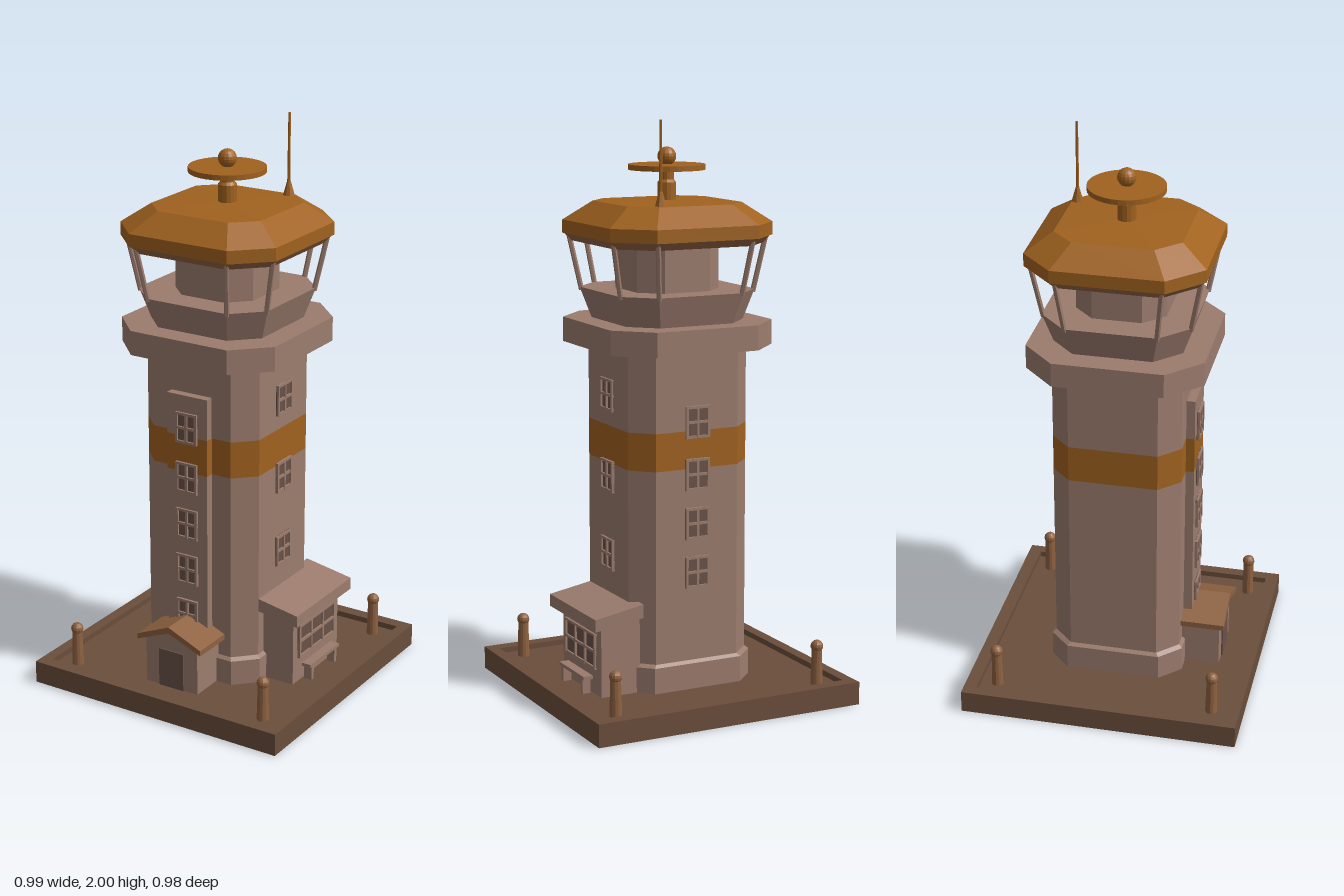
import * as THREE from 'three';

const mat = (color) => new THREE.MeshStandardMaterial({ color, flatShading: true, side: THREE.DoubleSide });

export function createModel() {
  const model = new THREE.Group();
  const wall = mat(0x9c7c6e), orange = mat(0xa0621f), ground = mat(0x6b4e3b);
  const rust = mat(0x8f6240), pane = mat(0x6a5248);

  const add = (name, geo, material, x = 0, y = 0, z = 0, parent = model) => {
    const m = new THREE.Mesh(geo, material);
    m.name = name;
    m.position.set(x, y, z);
    parent.add(m);
    return m;
  };
  const box = (name, w, h, d, material, x, y, z, parent) =>
    add(name, new THREE.BoxGeometry(w, h, d), material, x, y, z, parent);

  // Corners of a square with cut corners: half width h, cut c
  const ring = (y, h, c) => {
    const k = h - c;
    return [[h, k], [k, h], [-k, h], [-h, k], [-h, -k], [-k, -h], [k, -h], [h, -k]]
      .map(([x, z]) => [x, y, z]);
  };

  // Closed solid lofted through levels of [y, half width, corner cut]
  const loft = (levels) => {
    const rings = levels.map((l) => ring(...l));
    const pos = [];
    const tri = (...p) => p.forEach((v) => pos.push(...v));
    const bottom = rings[0], top = rings[rings.length - 1];
    for (let i = 0; i < 8; i++) {
      const j = (i + 1) % 8;
      for (let r = 0; r + 1 < rings.length; r++) {
        const lo = rings[r], hi = rings[r + 1];
        tri(lo[i], hi[i], hi[j]);
        tri(lo[i], hi[j], lo[j]);
      }
      tri([0, top[0][1], 0], top[j], top[i]);
      tri([0, bottom[0][1], 0], bottom[i], bottom[j]);
    }
    const g = new THREE.BufferGeometry();
    g.setAttribute('position', new THREE.Float32BufferAttribute(pos, 3));
    g.computeVertexNormals();
    return g;
  };

  // Straight bar between two points
  const bar = (name, a, b, r, material) => {
    const p = new THREE.Vector3(...a), q = new THREE.Vector3(...b);
    const dir = q.clone().sub(p);
    const m = add(name, new THREE.CylinderGeometry(r, r, dir.length(), 6), material);
    m.position.copy(p).add(q).multiplyScalar(0.5);
    m.quaternion.setFromUnitVectors(new THREE.Vector3(0, 1, 0), dir.normalize());
  };

  const extrude = (points, depth) => new THREE.ExtrudeGeometry(
    new THREE.Shape(points.map((p) => new THREE.Vector2(...p))), { depth, bevelEnabled: false });

  // Framed window facing +z before its group is turned
  const windowFrame = (name, w, h, x, y, z, turn, columns = 2, rows = 2) => {
    const g = new THREE.Group();
    g.name = name;
    g.position.set(x, y, z);
    g.rotation.y = turn;
    box('windowPane', w, h, 0.004, pane, 0, 0, 0.001, g);
    for (let i = 0; i <= columns; i++) {
      box('windowUpright', 0.009, h, 0.016, wall, (i / columns - 0.5) * (w - 0.009), 0, 0.002, g);
    }
    for (let i = 0; i <= rows; i++) {
      box('windowRail', w, 0.009, 0.015, wall, 0, (i / rows - 0.5) * (h - 0.009), 0.002, g);
    }
    model.add(g);
  };

  // Paved base with raised kerb
  box('baseSlab', 0.99, 0.06, 0.976, ground, 0, 0.03, 0);
  for (const s of [-1, 1]) {
    box('kerbSide', 0.04, 0.02, 0.976, ground, s * 0.475, 0.07, 0);
    box('kerbEnd', 0.91, 0.02, 0.045, ground, 0, 0.07, s * 0.4655);
  }

  // Shaft and front pilaster, both crossed by the painted band
  add('shaftSkirt', loft([[0.06, 0.237, 0.072], [0.15, 0.237, 0.072], [0.16, 0.226, 0.07]]), wall);
  const bands = [['shaftLower', 0.06, 0.83, wall], ['shaftBand', 0.83, 0.96, orange], ['shaftUpper', 0.96, 1.24, wall]];
  for (const [name, y0, y1, m] of bands) {
    add(name, loft([[y0, 0.225, 0.07], [y1, 0.225, 0.07]]), m);
    const top = Math.min(y1, 1.105);
    box(name + 'Pilaster', 0.16, top - y0, 0.055, m, 0, (y0 + top) / 2, 0.2275);
  }

  // Shaft windows
  for (const y of [0.99, 0.81, 0.64, 0.47, 0.3]) {
    windowFrame('frontWindow', 0.085, 0.11, 0, y, 0.255, 0);
    if (y > 0.4) windowFrame('backWindow', 0.09, 0.11, 0, y, -0.225, Math.PI);
  }
  for (const y of [1.067, 0.785, 0.51]) windowFrame('sideWindow', 0.095, 0.11, 0.225, y, 0, Math.PI / 2);

  // Gallery and control cab
  add('gallery', loft([[1.23, 0.305, 0.115], [1.315, 0.305, 0.115]]), wall);
  add('cabLowerWall', loft([[1.31, 0.22, 0.085], [1.42, 0.256, 0.098]]), wall);
  add('cabCore', loft([[1.41, 0.155, 0.07], [1.6, 0.155, 0.07]]), wall);
  const sill = ring(1.41, 0.25, 0.095), eave = ring(1.61, 0.288, 0.11);
  sill.forEach((p, i) => bar('cabPost', p, eave[i], 0.009, wall));

  // Roof
  add('roofSoffit', loft([[1.58, 0.282, 0.107], [1.61, 0.303, 0.114]]), rust);
  add('roof', loft([[1.605, 0.305, 0.115], [1.65, 0.305, 0.115], [1.715, 0.215, 0.078], [1.722, 0.02, 0.007]]), orange);

  // Radar dish on its mast
  const mast = [[0, 1.71], [0.032, 1.71], [0.032, 1.78], [0.024, 1.79], [0.024, 1.83], [0, 1.83]];
  add('radarMast', new THREE.LatheGeometry(mast.map((p) => new THREE.Vector2(...p)), 14), orange);
  add('radarDisc', new THREE.CylinderGeometry(0.132, 0.132, 0.018, 32), orange, 0, 1.832, 0);
  add('radarBall', new THREE.SphereGeometry(0.032, 14, 10), orange, 0, 1.868, 0);

  // Antenna
  add('antennaFoot', new THREE.CylinderGeometry(0.006, 0.02, 0.05, 8), orange, 0.122, 1.742, -0.196);
  add('antennaRod', new THREE.CylinderGeometry(0.004, 0.006, 0.27, 6), orange, 0.122, 1.865, -0.196);

  // Gabled entrance porch
  add('porchWalls', extrude([[-0.105, 0.06], [0.105, 0.06], [0.105, 0.23], [0, 0.28], [-0.105, 0.23]], 0.14), wall, 0, 0, 0.22);
  add('porchRoof', extrude([[-0.13, 0.222], [0, 0.275], [0.13, 0.222], [0.13, 0.242], [0, 0.298], [-0.13, 0.242]], 0.16), rust, 0, 0, 0.22);
  box('porchDoor', 0.1, 0.14, 0.008, pane, 0, 0.13, 0.361);

  // Lean-to annex
  add('annexWalls', extrude([[0.2, 0.06], [0.345, 0.06], [0.345, 0.315], [0.2, 0.34]], 0.31), wall, 0, 0, -0.19);
  add('annexRoof', extrude([[0.2, 0.33], [0.38, 0.302], [0.38, 0.345], [0.2, 0.377]], 0.375), wall, 0, 0, -0.22);
  windowFrame('annexWindow', 0.245, 0.125, 0.345, 0.213, -0.033, Math.PI / 2, 3, 2);

  // Bench under the annex window
  box('benchSeat', 0.035, 0.012, 0.2, wall, 0.368, 0.118, -0.033);
  for (const s of [-1, 1]) box('benchLeg', 0.03, 0.056, 0.015, wall, 0.368, 0.086, -0.033 + s * 0.08);

  // Corner bollards
  for (const x of [-0.385, 0.385]) {
    for (const z of [-0.385, 0.385]) {
      add('bollardPost', new THREE.CylinderGeometry(0.018, 0.021, 0.13, 12), rust, x, 0.125, z);
      add('bollardCap', new THREE.SphereGeometry(0.022, 12, 8), rust, x, 0.196, z);
    }
  }
  return model;
}
